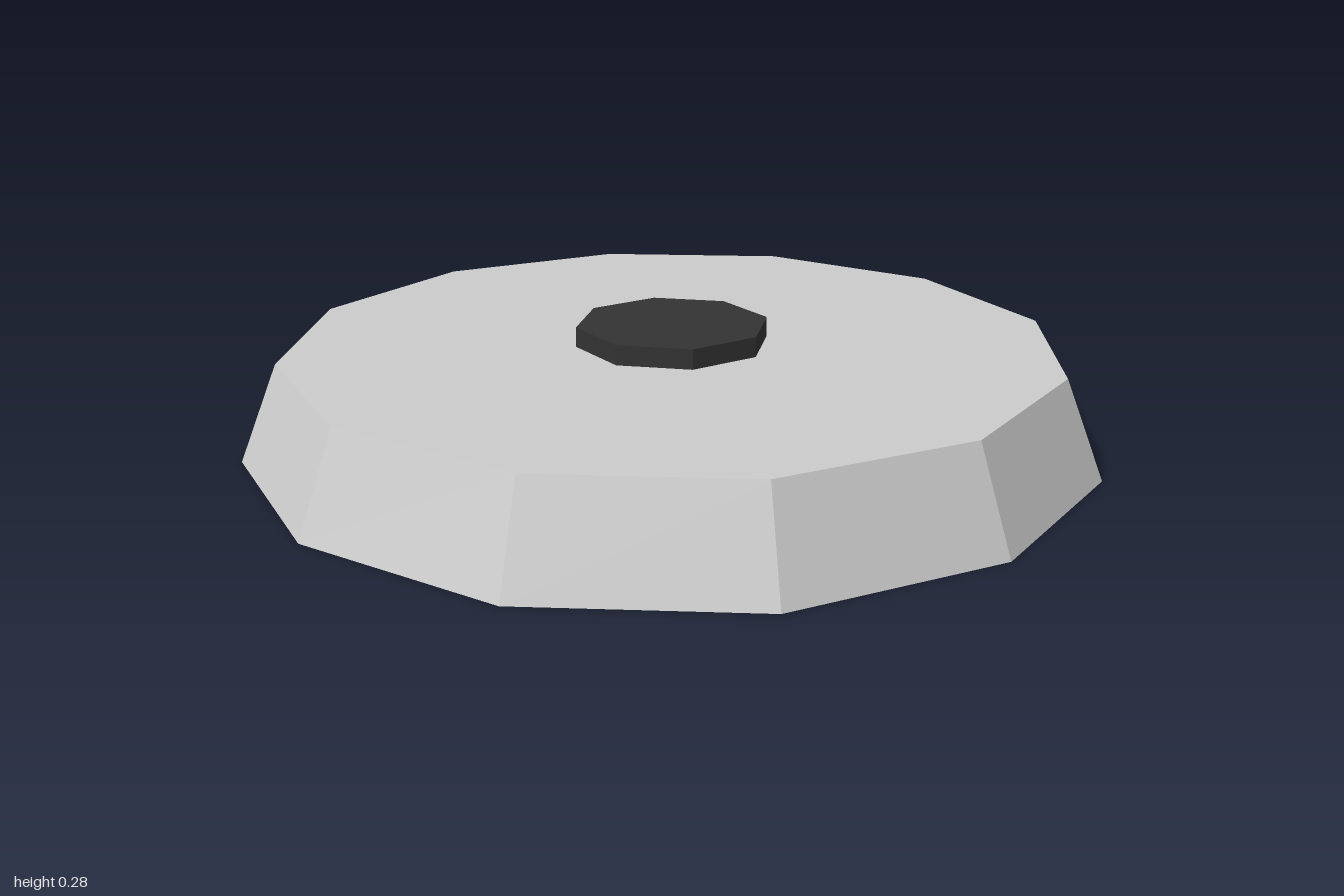
import * as THREE from 'three';

// Faceted disc standing on a given height, with corners on the x and z axes
function disc(name, topRadius, bottomRadius, y0, y1, sides, color) {
  const geometry = new THREE.CylinderGeometry(topRadius, bottomRadius, y1 - y0, sides);
  geometry.translate(0, (y0 + y1) / 2, 0);
  const mesh = new THREE.Mesh(geometry, new THREE.MeshStandardMaterial({ color, flatShading: true }));
  mesh.name = name;
  return mesh;
}

export function createModel() {
  const group = new THREE.Group();
  group.name = 'discWithButton';
  // Twelve-sided body with sloping rim
  group.add(disc('body', 0.91, 1, 0, 0.228, 12, 0xcccccc));
  // Eight-sided dark button on top
  group.add(disc('button', 0.228, 0.228, 0.228, 0.275, 8, 0x333333));
  return group;
}
